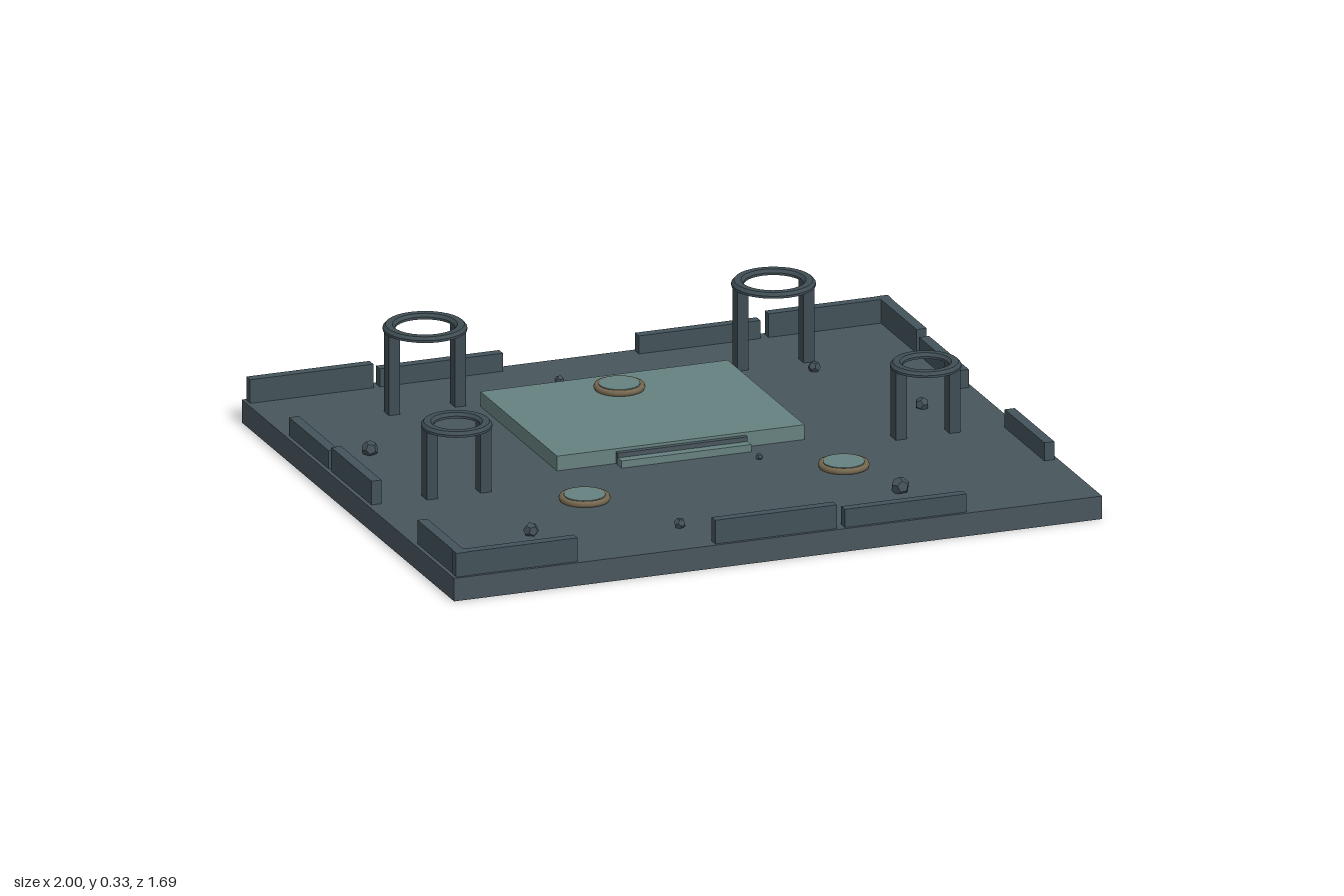
import * as THREE from 'three';

const paint = (name, color, extra = {}) => {
  const m = new THREE.MeshStandardMaterial({ color, ...extra });
  m.name = name;
  return m;
};

export function createModel() {
  const root = new THREE.Group();
  root.name = 'arenaPlatform';
  const floorMat = paint('slateFloor', 0x48565d);
  const wallMat = paint('slateWall', 0x42535a);
  const frameMat = paint('darkFrame', 0x3f4d53);
  const stoneMat = paint('paleTeal', 0x668180);
  const rimMat = paint('bronzeRim', 0x75674f);
  const rockMat = paint('rock', 0x435056, { flatShading: true });

  const add = (parent, name, geo, mat, x, y, z) => {
    const mesh = new THREE.Mesh(geo, mat);
    mesh.name = name;
    mesh.position.set(x, y, z);
    parent.add(mesh);
    return mesh;
  };
  // Box given by its extents
  const block = (parent, name, mat, x0, x1, y0, y1, z0, z1) =>
    add(parent, name, new THREE.BoxGeometry(x1 - x0, y1 - y0, z1 - z0), mat,
      (x0 + x1) / 2, (y0 + y1) / 2, (z0 + z1) / 2);

  const FLOOR = 0.07;
  block(root, 'base', floorMat, -1, 1, 0, FLOOR, -0.843, 0.843);

  // Broken parapet: [start, end, top]
  const HIGH = 0.142, LOW = 0.125;
  const backRun = [[-0.99, -0.61, HIGH], [-0.59, -0.21, LOW], [0.21, 0.585, LOW], [0.61, 0.99, HIGH]];
  const frontRun = [[-0.99, -0.615, HIGH], [-0.19, 0.185, HIGH], [0.21, 0.585, LOW]];
  const rightRun = [[-0.5, -0.185, LOW], [-0.165, 0.155, HIGH], [0.52, 0.835, HIGH]];
  const leftRun = [[-0.835, -0.52, HIGH], [-0.5, -0.185, LOW], [0.18, 0.495, LOW]];
  backRun.forEach(([a, b, h]) => block(root, 'backWall', wallMat, a, b, FLOOR, h, -0.833, -0.803));
  frontRun.forEach(([a, b, h]) => block(root, 'frontWall', wallMat, a, b, FLOOR, h, 0.803, 0.833));
  rightRun.forEach(([a, b, h]) => block(root, 'rightWall', wallMat, -0.988, -0.957, FLOOR, h, a, b));
  leftRun.forEach(([a, b, h]) => block(root, 'leftWall', wallMat, 0.957, 0.988, FLOOR, h, a, b));

  // Raised dais with its step
  const DAIS = 0.115;
  block(root, 'dais', stoneMat, -0.382, 0.382, FLOOR, DAIS, -0.54, 0.07);
  block(root, 'stepRiser', floorMat, -0.2, 0.2, FLOOR, 0.106, 0.07, 0.086);
  block(root, 'step', stoneMat, -0.2, 0.2, FLOOR, 0.092, 0.086, 0.115);

  // Flat bevelled ring carried by two posts
  const hoop = (x, z, outer, top) => {
    const g = new THREE.Group();
    g.name = 'ringStand';
    g.position.set(x, 0, z);
    const inner = outer - 0.036;
    const profile = [
      [inner, top - 0.016], [outer, top - 0.016], [outer, top - 0.009], [outer - 0.008, top],
      [inner + 0.008, top], [inner, top - 0.009], [inner, top - 0.016],
    ];
    // Each straight run of the profile gets its own lathe so edges stay sharp
    for (let i = 0; i < profile.length - 1; i++) {
      const pts = [profile[i], profile[i + 1]].map(p => new THREE.Vector2(...p));
      add(g, 'ring', new THREE.LatheGeometry(pts, 32), frameMat, 0, 0, 0);
    }
    for (const s of [-1, 1]) {
      const c = s * (outer - 0.02);
      block(g, 'post', frameMat, c - 0.017, c + 0.017, FLOOR, top - 0.012, -0.021, 0.021);
    }
    root.add(g);
  };
  for (const s of [-1, 1]) {
    hoop(s * 0.538, -0.578, 0.122, 0.328);
    hoop(s * 0.724, 0.152, 0.103, 0.292);
  }

  // Low marker discs with bronze rims
  for (const [x, y, z] of [[0, DAIS, -0.418], [-0.4, FLOOR, 0.335], [0.4, FLOOR, 0.335]]) {
    const g = new THREE.Group();
    g.name = 'markerDisc';
    g.position.set(x, y, z);
    const rim = add(g, 'rim', new THREE.TorusGeometry(0.065, 0.01, 8, 28), rimMat, 0, 0.008, 0);
    rim.rotation.x = Math.PI / 2;
    add(g, 'disc', new THREE.CylinderGeometry(0.06, 0.063, 0.018, 28), stoneMat, 0, 0.009, 0);
    root.add(g);
  }

  // Scattered rubble
  const rocks = [
    [-0.095, -0.65, 0.014], [0.627, -0.483, 0.019], [-0.83, -0.265, 0.025], [0.797, -0.065, 0.021],
    [0.198, 0.183, 0.011], [-0.655, 0.565, 0.023], [0.472, 0.598, 0.028], [-0.232, 0.658, 0.018],
  ];
  rocks.forEach(([x, z, r], i) => {
    const rock = add(root, 'rock', new THREE.DodecahedronGeometry(r), rockMat, x, FLOOR + r * 0.6, z);
    rock.rotation.set(i * 0.7, i * 1.3, i * 0.4);
  });

  return root;
}
